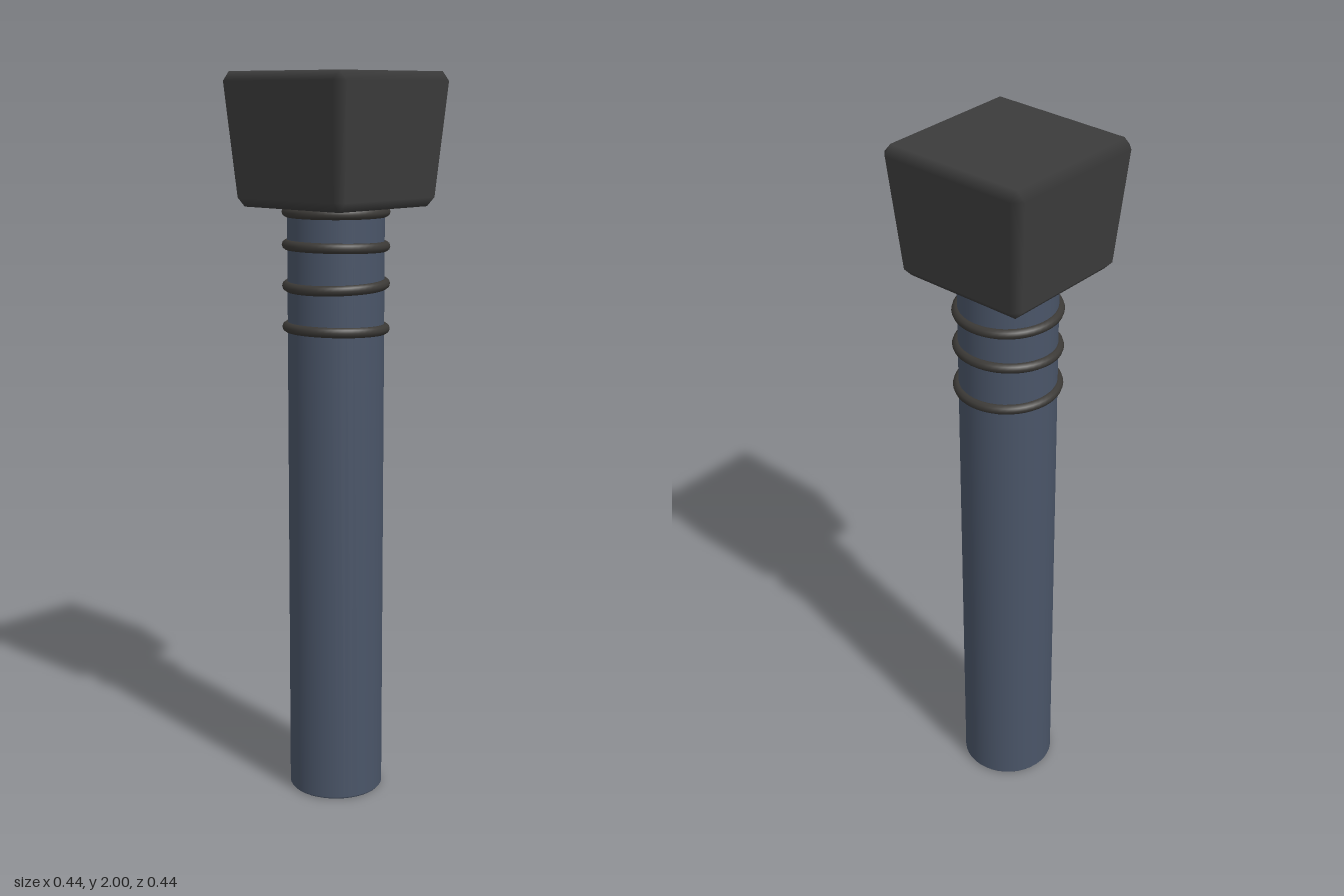
import * as THREE from 'three';
import { ConvexGeometry } from 'three/addons/geometries/ConvexGeometry.js';

const mat = (name, color) => new THREE.MeshStandardMaterial({ name, color });

// Chamfered box narrowing towards its base, with normals held flat on the six main faces.
function taperedBlock(half, bottom, top, bevel, slope) {
  const mid = (top + bottom) / 2;
  const size = [half, (top - bottom) / 2, half];
  const points = [];
  for (let axis = 0; axis < 3; axis++)
    for (const sx of [-1, 1]) for (const sy of [-1, 1]) for (const sz of [-1, 1]) {
      const p = [sx, sy, sz].map((s, i) => s * (size[i] - (i === axis ? 0 : bevel)));
      points.push(new THREE.Vector3(...p));
    }
  const geo = new ConvexGeometry(points);
  const pos = geo.attributes.position;
  const nor = geo.attributes.normal;
  for (let i = 0; i < pos.count; i++) {
    const p = [pos.getX(i), pos.getY(i), pos.getZ(i)];
    const axis = p.findIndex((v, k) => Math.abs(Math.abs(v) - size[k]) < 1e-4);
    const n = new THREE.Vector3().setComponent(axis, Math.sign(p[axis]));
    if (axis !== 1) n.y = -slope;
    n.normalize();
    nor.setXYZ(i, n.x, n.y, n.z);
    // Scale the cross-section down with depth below the upper rim
    const k = 1 - (slope / half) * (size[1] - bevel - p[1]);
    pos.setXYZ(i, p[0] * k, p[1] + mid, p[2] * k);
  }
  return geo;
}

export function createModel() {
  const group = new THREE.Group();
  const slate = mat('slate blue', 0x4a5568);
  const charcoal = mat('charcoal', 0x3c3c3c);
  const cord = mat('dark cord', 0x3b3936);

  const add = (name, geometry, material) => {
    const mesh = new THREE.Mesh(geometry, material);
    mesh.name = name;
    group.add(mesh);
    return mesh;
  };

  // Round handle with a slightly eased lower edge
  const side = new THREE.LatheGeometry(
    [[0.126, 0], [0.131, 0.006], [0.131, 1.66]].map(p => new THREE.Vector2(...p)), 40);
  add('handle', side, slate);
  const base = add('handleBase', new THREE.CircleGeometry(0.126, 40), slate);
  base.rotation.x = Math.PI / 2;

  // Square flared head
  add('head', taperedBlock(0.222, 1.648, 2, 0.025, 0.085), charcoal);

  // Cord rings round the neck, each a little tilted: [height, tilt]
  [[1.635, 0], [1.545, -0.025], [1.44, 0.035], [1.323, -0.03]].forEach(([y, tilt], i) => {
    const ring = new THREE.TorusGeometry(0.132, 0.014, 10, 48);
    ring.rotateX(Math.PI / 2);
    const mesh = add('bindingRing' + (i + 1), ring, cord);
    mesh.position.y = y;
    mesh.rotation.z = tilt;
  });

  return group;
}
